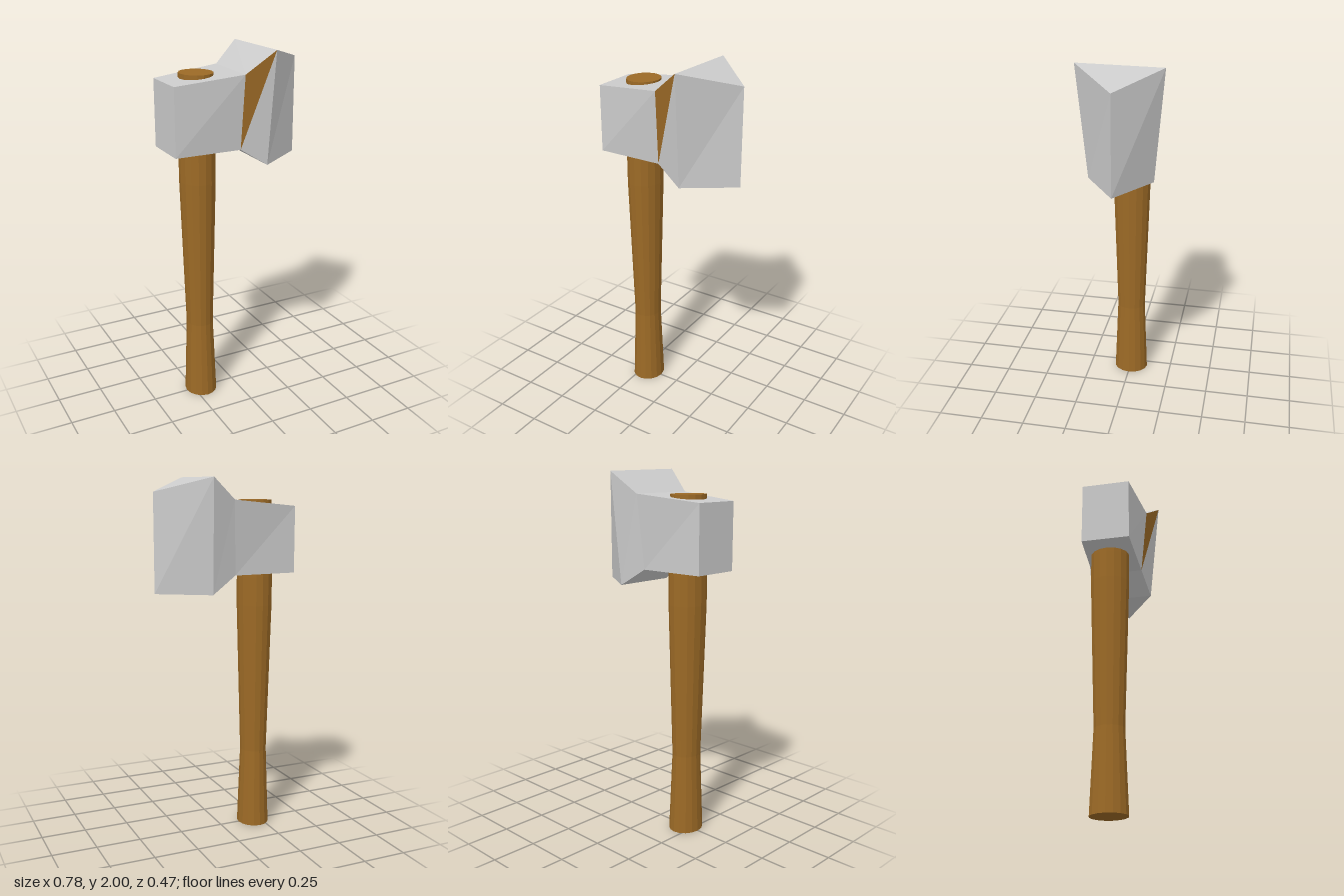
import * as THREE from 'three';

const steel = new THREE.MeshStandardMaterial({ color: 0xcccccc, flatShading: true });
const wood = new THREE.MeshStandardMaterial({ color: 0x9c6a26, flatShading: true });

function facets(name, triangles, material) {
  const geometry = new THREE.BufferGeometry();
  geometry.setAttribute('position', new THREE.Float32BufferAttribute(triangles.flat(2), 3));
  geometry.computeVertexNormals();
  const mesh = new THREE.Mesh(geometry, material);
  mesh.name = name;
  return mesh;
}

// Cross-sections from the poll to the cutting edge.
// Corners: top front, top back, bottom back, bottom front.
const sections = [
  [[-0.39, 1.845, 0.14], [-0.39, 1.845, -0.125], [-0.39, 1.48, -0.125], [-0.39, 1.48, 0.14]],
  [[-0.012, 1.88, 0.18], [0, 1.88, -0.18], [-0.02, 1.48, -0.145], [-0.02, 1.48, 0.145]],
  [[0.138, 2, 0.233], [0.142, 1.995, -0.233], [0.125, 1.385, -0.18], [0.125, 1.385, 0.175]],
  [[0.39, 1.92, -0.005], [0.39, 1.92, -0.005], [0.39, 1.385, -0.005], [0.39, 1.385, -0.005]],
];

function createHead() {
  const head = new THREE.Group();
  head.name = 'axeHead';
  const [p, q, r, t] = sections[0];
  const grey = [[p, q, r], [p, r, t]]; // flat poll
  const brown = [];
  const same = (a, b) => a.every((v, k) => v === b[k]);
  for (let s = 0; s < sections.length - 1; s++) {
    for (let i = 0; i < 4; i++) {
      const j = (i + 1) % 4;
      const a = sections[s][i], b = sections[s][j];
      const c = sections[s + 1][j], d = sections[s + 1][i];
      if (!same(c, d)) grey.push([a, d, c]);
      // One facet on the front of the neck is wood coloured
      (s === 1 && i === 3 ? brown : grey).push([a, c, b]);
    }
  }
  head.add(facets('headBody', grey, steel), facets('neckFacet', brown, wood));
  return head;
}

// Oval handle with a waist near the grip and closed ends
function createHandle() {
  const profile = [
    [0, 0], [0.09, 0], [0.074, 0.45], [0.097, 1.3], [0.097, 1.46], [0.09, 1.88], [0, 1.88],
  ].map(([r, y]) => new THREE.Vector2(r, y));
  const handle = new THREE.Mesh(new THREE.LatheGeometry(profile, 16), wood);
  handle.name = 'handle';
  handle.scale.z = 1.12;
  handle.position.set(-0.205, 0, -0.003);
  return handle;
}

export function createModel() {
  const model = new THREE.Group();
  model.name = 'axe';
  model.add(createHandle(), createHead());
  return model;
}
